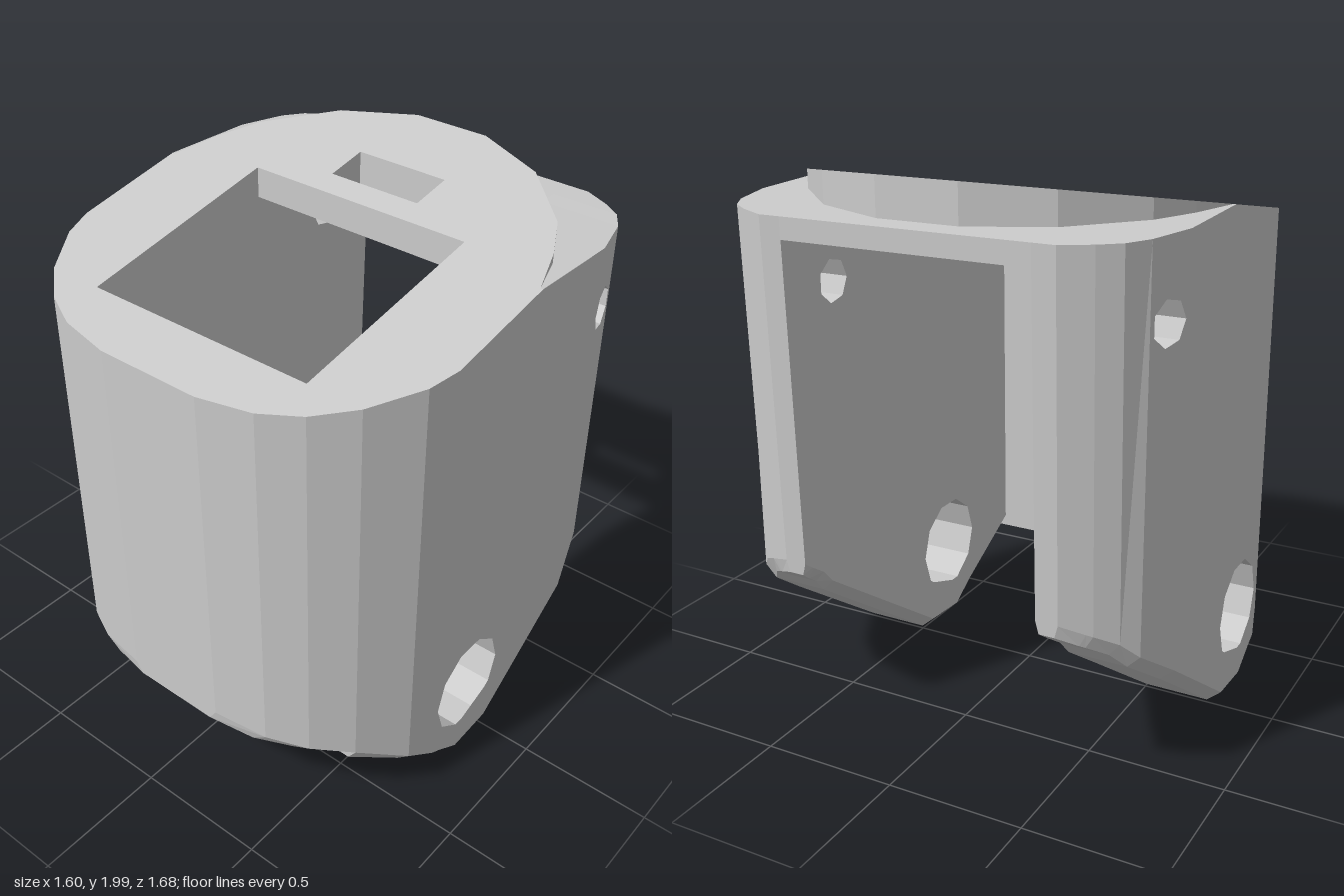
import * as THREE from 'three';

const INNER = 0.45, FRONT = 0.62, BACK = -0.84;
const material = new THREE.MeshStandardMaterial({ color: 0xcccccc, flatShading: true });

// Plan outline of one half: [z, half width]
const plan = [[0.84, 0.2], [0.8, 0.4], [0.73, 0.54], [FRONT, 0.66], [0.45, 0.77], [0.34, 0.8],
  [-0.48, 0.8], [-0.66, 0.75], [-0.74, 0.7], [-0.79, 0.63], [BACK, 0.53]];
// Lower edge in side profile: [z, y]
const lower = [[0.84, 0.32], [0.8, 0.3], [FRONT, 0.25], [0.45, 0.16], [0.3, 0.08], [0.19, 0.01],
  [0, 0.02], [-0.8, 0.57], [BACK, 0.6]];

// Piecewise linear lookup in a table of falling z
function lookup(table, z) {
  for (let i = 1; i < table.length; i++) {
    const [a, va] = table[i - 1], [b, vb] = table[i];
    if (z >= b - 1e-6) return va + (vb - va) * (a - z) / (a - b);
  }
  return table[table.length - 1][1];
}
const slope = z => 1.869 - 0.177 * z;
const ledge = z => 1.8867 + 0.036 * (z + 0.1);
const same = (a, b) => Math.abs(a - b) < 1e-4;

function polygon(points) {
  return new THREE.Shape(points.map(p => new THREE.Vector2(p[0], p[1])));
}

function ring(z, y, r, sides) {
  const pts = [];
  for (let i = 0; i < sides; i++) {
    const a = (i / sides) * Math.PI * 2;
    pts.push([z + r * Math.cos(a), y + r * Math.sin(a)]);
  }
  return polygon(pts);
}

// One planar slice of wall between two plan stations, extruded from inside to outside
function wallSlice(z0, z1, side, holes) {
  const isFront = z1 >= FRONT - 1e-6;
  const between = z => z < z0 - 1e-6 && z > z1 + 1e-6;
  const low = [z0, ...lower.map(p => p[0]).filter(between), z1];
  const high = [z1, ...[-0.1].filter(between), z0];
  const shape = polygon([...low.map(z => [z, lookup(lower, z)]),
    ...high.map(z => [z, Math.min(slope(z), ledge(z))])]);
  shape.holes.push(...holes);
  const src = new THREE.ExtrudeGeometry(shape, { depth: 1, steps: 3, bevelEnabled: false }).attributes.position;
  const open = [0.84, FRONT, BACK];
  const out = [];
  for (let i = 0; i < src.count; i += 3) {
    const tri = [0, 1, 2].map(k => new THREE.Vector3().fromBufferAttribute(src, i + k));
    // leave out the joints between slices
    const joint = [z0, z1].some(z => !open.some(o => same(o, z)) && tri.every(p => same(p.x, z)));
    if (joint || (isFront && tri.every(p => same(p.z, 0)))) continue;
    if (side > 0) tri.reverse();
    for (const p of tri) {
      const z = p.x, t = p.z;
      const inside = isFront ? 0 : INNER, outside = lookup(plan, z);
      const f = [0, 0.15, 0.85, 1][Math.round(t * 3)];
      const x = inside + (outside - inside) * f;
      // chamfer along the lower rim
      const rim = same(p.y, lookup(lower, z)) && (same(t, 1) || (same(t, 0) && !isFront));
      const y = p.y + (rim ? 0.045 : 0);
      // the rear leans in slightly towards the bottom
      const lean = z < -0.73 ? 0.03 * (1.86 - y) / 1.25 : 0;
      out.push(side * x, y, z + lean);
    }
  }
  return out;
}

function wall(side) {
  const pos = [];
  for (let i = 1; i < plan.length; i++) {
    const z0 = plan[i - 1][0], z1 = plan[i][0];
    const holes = [];
    if (z0 === 0.34) holes.push(ring(0.14, 0.35, 0.185, 10));
    if (z0 === -0.48) holes.push(ring(-0.57, 1.6, 0.078, 7));
    for (const v of wallSlice(z0, z1, side, holes)) pos.push(v);
  }
  const geo = new THREE.BufferGeometry();
  geo.setAttribute('position', new THREE.Float32BufferAttribute(pos, 3));
  return geo;
}

// Horizontal plate from an outline in x and -z, with the slot cut through
function plate(outline, bottom, top) {
  const shape = polygon(outline);
  shape.holes.push(polygon([[-0.185, 0.28], [-0.185, 0.44], [0.185, 0.44], [0.185, 0.28]]));
  const geo = new THREE.ExtrudeGeometry(shape, { depth: 1, bevelEnabled: false });
  const p = geo.attributes.position;
  for (let i = 0; i < p.count; i++) {
    const z = -p.getY(i);
    p.setXYZ(i, p.getX(i), p.getZ(i) > 0.5 ? top(z) : bottom(z), z);
  }
  return geo;
}

export function createModel() {
  const group = new THREE.Group();
  const add = (name, geo) => {
    geo.computeVertexNormals();
    const mesh = new THREE.Mesh(geo, material);
    mesh.name = name;
    group.add(mesh);
  };

  // Side walls, each with its half of the front wall
  add('leftWall', wall(1));
  add('rightWall', wall(-1));

  // Roof behind the window
  add('roof', plate([[-INNER, 0.18], [INNER, 0.18], [INNER, 0.84], [-INNER, 0.84]], () => 1.785, ledge));

  // Raised sloping collar, notched around the window
  const arc = [[0.79, 0.1], [0.73, 0.27], [0.65, 0.42], [0.43, 0.63], [0.15, 0.74]];
  const mirrored = arc.map(([x, v]) => [-x, v]).reverse();
  add('collar', plate([...arc, ...mirrored,
    [-INNER, 0.1], [-INNER, 0.18], [INNER, 0.18], [INNER, 0.1]], ledge, slope));

  return group;
}
